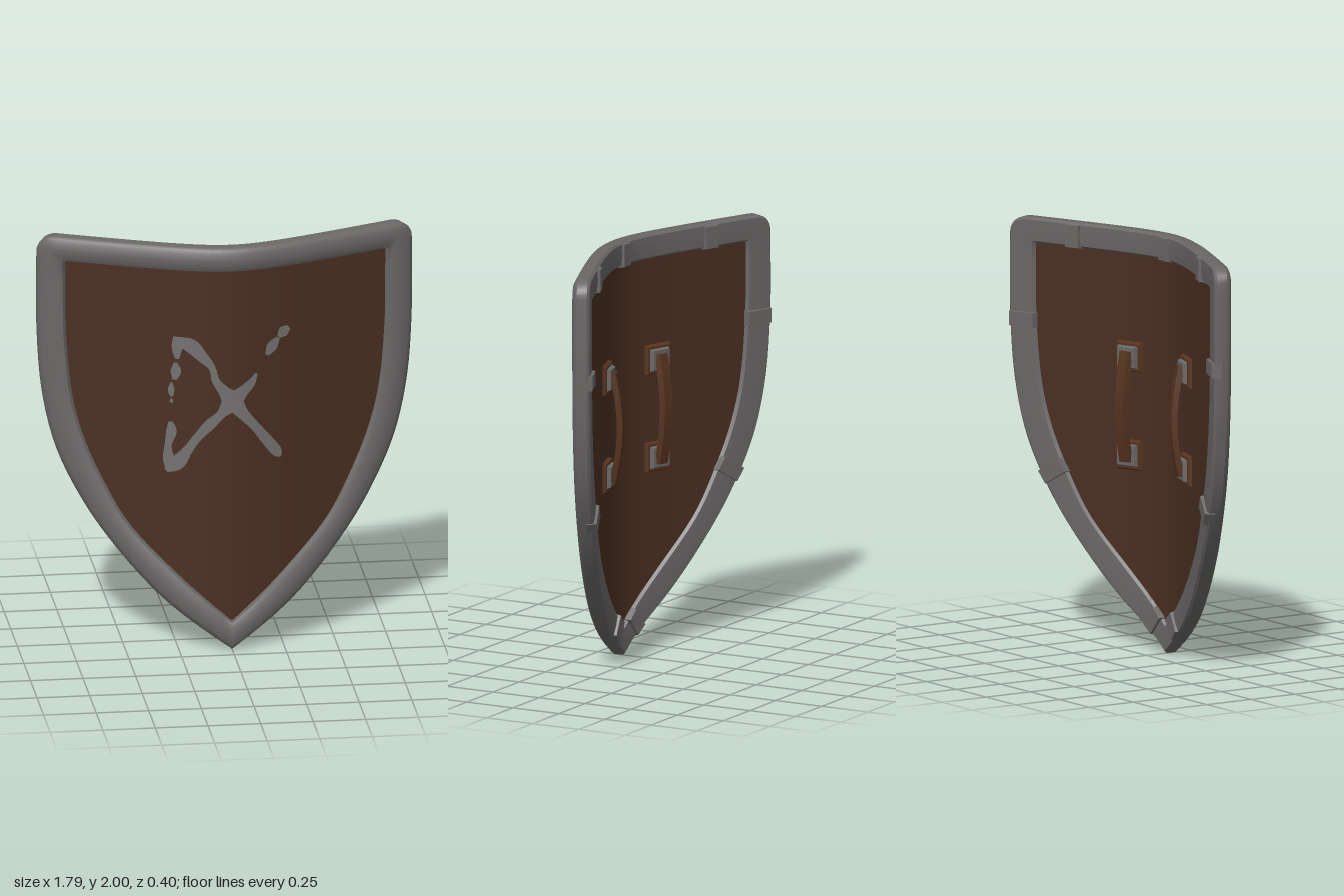
import * as THREE from 'three';
import { toCreasedNormals } from 'three/addons/utils/BufferGeometryUtils.js';

const V = (x, y, z = 0) => new THREE.Vector3(x, y, z);
const mat = (name, color, side = THREE.FrontSide) => {
  const m = new THREE.MeshStandardMaterial({ color, side });
  m.name = name;
  return m;
};

// Bends a flat point (x, y, depth) onto the curved shield
const A = 0.098, K = 0.44;
function bend(p) {
  const h = Math.hypot(A, K * p.x);
  const slope = (K * K * p.x) / h, len = Math.hypot(slope, 1);
  return V(p.x + (p.z * slope) / len, p.y, 0.145 + A - h + p.z / len);
}

// Skin over rows of points, bent onto the shield
function skin(rows, crease = 0.6) {
  const pos = [];
  const r = rows.map(row => row.map(bend));
  for (let j = 0; j < r.length - 1; j++) {
    for (let k = 0; k < r[j].length - 1; k++) {
      const a = r[j][k], b = r[j][k + 1], c = r[j + 1][k + 1], d = r[j + 1][k];
      for (const v of [a, b, c, a, c, d]) pos.push(v.x, v.y, v.z);
    }
  }
  const g = new THREE.BufferGeometry();
  g.setAttribute('position', new THREE.Float32BufferAttribute(pos, 3));
  return toCreasedNormals(g, crease);
}

// Block that narrows toward its back face, turned in plane, then bent
function block(w, h, front, back, x, y, angle = 0, taper = 0.85, bulge = 0) {
  const g = new THREE.BoxGeometry(w, h, front - back, 4, bulge ? 16 : 4, 1);
  const p = g.attributes.position;
  for (let i = 0; i < p.count; i++) {
    const v = V().fromBufferAttribute(p, i);
    const s = v.z < 0 ? taper : 1;
    v.z += (front + back) / 2 - bulge * Math.cos((v.y / h) * Math.PI);
    v.x *= s;
    if (!bulge) v.y *= s;
    v.applyAxisAngle(V(0, 0, 1), angle);
    v.x += x;
    v.y += y;
    v.copy(bend(v));
    p.setXYZ(i, v.x, v.y, v.z);
  }
  return toCreasedNormals(g, 0.5);
}

export function createModel() {
  const group = new THREE.Group();
  group.name = 'shield';
  const steel = mat('rim steel', 0x6a6867);
  const wood = mat('board wood', 0x4a2f22);
  const paint = mat('emblem grey', 0x737170, THREE.DoubleSide);
  const leather = mat('handle brown', 0x56331f);
  const add = (name, geo, m, parent = group) => {
    const mesh = new THREE.Mesh(geo, m);
    mesh.name = name;
    parent.add(mesh);
  };

  // Right half of the outline, from top centre down to the tip
  const N = 32;
  const curve = pts => new THREE.CatmullRomCurve3(pts.map(p => V(...p)));
  const outerSide = curve([[0.885, 1.92], [0.885, 1.55], [0.86, 1.22], [0.8, 0.96], [0.7, 0.74],
    [0.565, 0.53], [0.32, 0.25], [0, 0]]);
  const innerSide = curve([[0.755, 1.88], [0.75, 1.5], [0.72, 1.2], [0.667, 1.0], [0.58, 0.8],
    [0.466, 0.6], [0.254, 0.373], [0, 0.14]]);
  const half = [], side = [];
  for (let i = 0; i < 16; i++) half.push([V(0.805 * i / 16, 2), V(0.755 * i / 16, 1.88)]);
  for (let i = 0; i < 6; i++) {
    const a = (Math.PI / 2) * (1 - i / 6);
    half.push([V(0.805 + 0.08 * Math.cos(a), 1.92 + 0.08 * Math.sin(a)), V(0.755, 1.88)]);
  }
  for (let i = 0; i <= N; i++) side.push([outerSide.getPoint(i / N), innerSide.getPoint(i / N)]);
  half.push(...side);
  const mirrored = half.slice(0, -1).reverse().map(pair => pair.map(p => V(-p.x, p.y)));
  const outline = [...half, ...mirrored];

  // Rounded rim: section as [share of width from outside, depth]
  const section = [[0.08, -0.042], [0, -0.03], [0, 0.018], [0.07, 0.033], [0.22, 0.042], [0.5, 0.046],
    [0.78, 0.042], [0.94, 0.032], [1, 0.01], [1, -0.026], [0.92, -0.04], [0.5, -0.044], [0.08, -0.042]];
  add('rim', skin(outline.map(([o, i]) => section.map(([u, d]) => {
    const p = o.clone().lerp(i, u);
    p.z = d;
    return p;
  }))), steel);

  // Wooden board, front and back faces tucked under the rim
  const board = (sign, d) => skin(side.map(([o, i]) => {
    const e = i.clone().lerp(o, 0.2);
    return Array.from({ length: 49 }, (_, k) => V(sign * e.x * (1 - k / 24), e.y, d));
  }));
  add('boardFront', board(1, 0.012), wood);
  add('boardBack', board(-1, -0.025), wood);

  // Painted emblem: brush strokes as [x, y, half width]
  const strokes = [
    [[-0.25, 1.44, 0.01], [-0.25, 1.5, 0.024], [-0.25, 1.55, 0.018]],
    [[-0.265, 1.53, 0.018], [-0.19, 1.51, 0.035], [-0.14, 1.46, 0.028], [-0.09, 1.4, 0.016],
      [-0.075, 1.34, 0.018], [-0.04, 1.29, 0.026], [0, 1.24, 0.045], [0.05, 1.17, 0.028],
      [0.11, 1.1, 0.022], [0.17, 1.02, 0.026], [0.215, 0.96, 0.024], [0.23, 0.935, 0.008]],
    [[0.115, 1.365, 0.006], [0.09, 1.32, 0.02], [0.05, 1.28, 0.028], [0, 1.23, 0.045],
      [-0.05, 1.17, 0.022], [-0.1, 1.12, 0.026], [-0.16, 1.05, 0.02], [-0.2, 0.99, 0.022],
      [-0.25, 0.92, 0.034], [-0.3, 0.88, 0.012]],
    [[-0.28, 1.125, 0.01], [-0.275, 1.08, 0.024], [-0.29, 1.01, 0.016], [-0.288, 0.94, 0.026],
      [-0.275, 0.885, 0.024]],
    [[0.165, 1.45, 0.01], [0.19, 1.49, 0.026], [0.22, 1.53, 0.01]],
    [[0.222, 1.532, 0.008], [0.245, 1.555, 0.027], [0.272, 1.575, 0.012]],
    [[-0.258, 1.42, 0.008], [-0.255, 1.38, 0.024], [-0.262, 1.335, 0.01]],
    [[-0.275, 1.32, 0.006], [-0.277, 1.28, 0.015], [-0.275, 1.25, 0.006]],
    [[-0.275, 1.24, 0.005], [-0.275, 1.22, 0.009]],
  ];
  const emblem = new THREE.Group();
  emblem.name = 'emblem';
  group.add(emblem);
  for (const s of strokes) {
    const c = curve(s), n = s.length * 4;
    const rows = Array.from({ length: n + 1 }, (_, i) => {
      const p = c.getPoint(i / n), t = c.getTangent(i / n);
      const l = Math.hypot(t.x, t.y), w = p.z / l;
      return [-1, 0, 1].map(q => V(p.x + q * t.y * w, p.y - q * t.x * w, 0.016));
    });
    add('emblemStroke', skin(rows), paint, emblem);
  }

  // Clips gripping the back of the rim: x, y, angle along the edge, width across it
  const clips = [[0, 1.935, 0, 0.125], [0.55, 1.935, 0, 0.125], [0.815, 1.51, Math.PI / 2, 0.145],
    [0.655, 0.8, 1.0, 0.145], [0.09, 0.145, 0.69, 0.125]];
  for (const [x, y, a, w] of clips) {
    for (const s of x ? [1, -1] : [1]) {
      add('rimClip', block(0.08, w, -0.01, -0.056, s * x, y, s * a), steel);
    }
  }

  // Two handles on the back, each with stepped mounts and a bowed grip
  for (const s of [1, -1]) {
    const handle = new THREE.Group();
    handle.name = s > 0 ? 'leftHandle' : 'rightHandle';
    group.add(handle);
    for (const y of [1.39, 0.92]) {
      add('mountBase', block(0.155, 0.15, -0.02, -0.044, s * 0.25, y), leather, handle);
      add('mountPlate', block(0.115, 0.11, -0.04, -0.062, s * 0.25, y), steel, handle);
    }
    add('grip', block(0.07, 0.53, -0.052, -0.078, s * 0.25, 1.155, 0, 0.7, 0.034), leather, handle);
  }
  return group;
}
